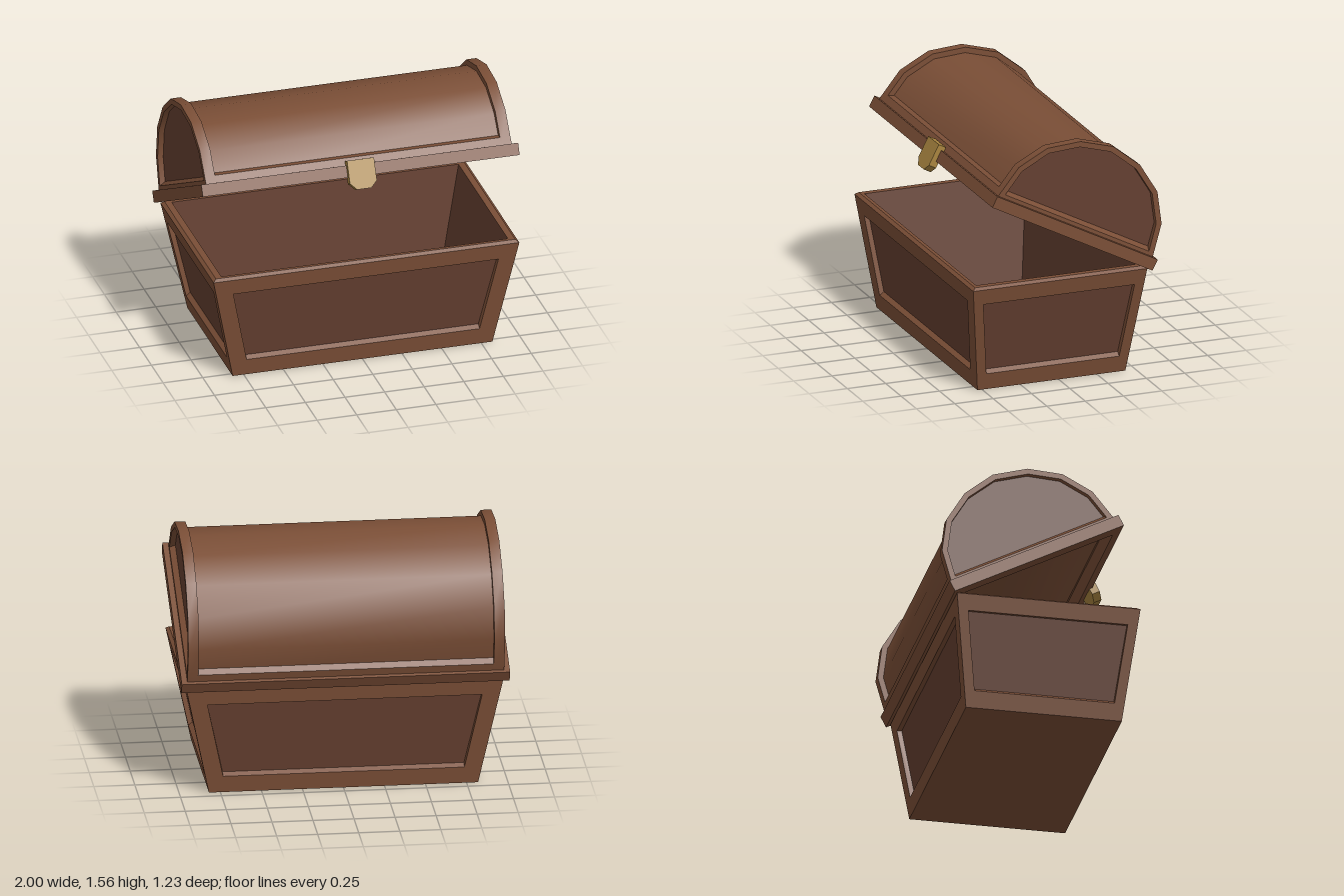
import * as THREE from 'three';
import { toCreasedNormals } from 'three/addons/utils/BufferGeometryUtils.js';

const mat = (color) => new THREE.MeshStandardMaterial({ color, side: THREE.DoubleSide });
const V = (x, y, z) => new THREE.Vector3(x, y, z);

// Flat-shaded geometry from four-cornered faces (counter-clockwise from outside)
function quads(faces) {
  const pts = faces.flatMap(([a, b, c, d]) => [a, b, c, a, c, d]);
  const g = new THREE.BufferGeometry().setFromPoints(pts);
  g.computeVertexNormals();
  return g;
}

function add(group, name, geometry, material) {
  const m = new THREE.Mesh(geometry, material);
  m.name = name;
  group.add(m);
  return m;
}

// Strips joining two matching loops of corners
const bridge = (lo, hi) => lo.map((p, i) => {
  const j = (i + 1) % lo.length;
  return [p, lo[j], hi[j], hi[i]];
});

// Rectangle loop at height y: front left, front right, back right, back left
const ring = (x, y, front, back) => [V(-x, y, front), V(x, y, front), V(x, y, back), V(-x, y, back)];

// Extrudes a (z, y) outline along x, ending at x = x1
function extrudeX(outline, hole, x1, depth) {
  const toV2 = (l) => l.map(([a, b]) => new THREE.Vector2(a, b));
  const shape = new THREE.Shape(toV2(outline));
  if (hole) shape.holes.push(new THREE.Path(toV2(hole)));
  const g = new THREE.ExtrudeGeometry(shape, { depth, bevelEnabled: false });
  g.rotateY(-Math.PI / 2).translate(x1, 0, 0);
  return toCreasedNormals(g, 0.5);
}

// Lid arch outline, shrunk by inset, with its feet at height foot
const RIM = 0.074, MID = 0.588, LID_DEPTH = 1.176;
const HALF_ARCH = [[0.567, 0], [0.524, 0.209], [0.404, 0.382], [0.219, 0.495]];
function arch(inset, foot = RIM) {
  const sx = 1 - inset / 0.567, sy = 1 - inset / 0.54;
  const side = HALF_ARCH.map(([h, v]) => [h * sx, RIM + v * sy]);
  const t = (foot - RIM) / (side[1][1] - RIM);
  side[0] = [side[0][0] + (side[1][0] - side[0][0]) * t, foot];
  return [
    ...side.map(([h, v]) => [MID + h, v]),
    [MID, RIM + 0.54 * sy],
    ...side.reverse().map(([h, v]) => [MID - h, v]),
  ];
}

function makeBase(wood, panelWood) {
  const base = new THREE.Group();
  base.name = 'base';
  const bottom = ring(0.82, 0, 0.53, -0.435);
  const top = ring(0.965, 0.69, 0.615, -0.52);
  const frame = [], panels = [];

  // Sloped walls, each with a recessed panel
  for (let i = 0; i < 4; i++) {
    const j = (i + 1) % 4;
    const [A, B, C, D] = [bottom[i], bottom[j], top[j], top[i]];
    const along = B.clone().sub(A).normalize();
    const up = D.clone().add(C).sub(A).sub(B).normalize();
    const normal = along.clone().cross(up);
    const margin = i % 2 ? 0.062 : 0.107;
    const at = (p, q, t, s) => p.clone().lerp(q, t).addScaledVector(along, s * margin);
    const opening = [at(A, D, 0.153, 1), at(B, C, 0.153, -1), at(B, C, 0.855, -1), at(A, D, 0.855, 1)];
    const recess = opening.map((p, k) => {
      const q = p.clone().addScaledVector(normal, -0.03);
      return k < 2 ? q.addScaledVector(up, 0.016) : q;
    });
    frame.push(...bridge([A, B, C, D], opening), ...bridge(opening, recess));
    panels.push(recess);
  }

  // Chamfered lip, inner walls, floor and underside
  const lip = ring(0.945, 0.705, 0.595, -0.5);
  const mouth = ring(0.905, 0.705, 0.573, -0.478);
  const floor = ring(0.77, 0.05, 0.495, -0.4);
  frame.push(...bridge(top, lip), ...bridge(lip, mouth), [...bottom].reverse());
  add(base, 'baseFrame', quads(frame), wood);
  add(base, 'basePanels', quads(panels), panelWood);
  add(base, 'baseInterior', quads([...bridge(mouth, floor), floor]), panelWood);
  return base;
}

function makeLid(wood, panelWood, brass) {
  const lid = new THREE.Group();
  lid.name = 'lid';

  // Open rectangular rim
  const rect = (Type, x, z0, z1) => new Type(
    [[-x, -z0], [x, -z0], [x, -z1], [-x, -z1]].map(([a, b]) => new THREE.Vector2(a, b)));
  const rim = rect(THREE.Shape, 1, 0, LID_DEPTH);
  rim.holes.push(rect(THREE.Path, 0.9, 0.054, LID_DEPTH - 0.054));
  const rimGeo = new THREE.ExtrudeGeometry(rim, { depth: RIM, bevelEnabled: false });
  add(lid, 'lidRim', rimGeo.rotateX(-Math.PI / 2), wood);

  // Smooth barrel shell, hollow beneath
  add(lid, 'lidBarrel', extrudeX([...arch(0.035), ...arch(0.045).reverse()], null, 0.9, 1.8), wood);

  // Low strips along the barrel's front and back feet
  const [outer, inner] = [arch(0), arch(0.035)];
  const [outerTop, innerTop] = [arch(0, 0.12), arch(0.035, 0.135)];
  for (const k of [0, outer.length - 1]) {
    add(lid, k ? 'backStrip' : 'frontStrip',
      extrudeX([outer[k], outerTop[k], innerTop[k], inner[k]], null, 0.9, 1.8), wood);
  }

  // Arched end bands, recessed end panels and their sloped sills
  for (const s of [1, -1]) {
    const side = s > 0 ? 'left' : 'right';
    const opening = arch(0.035, 0.097);
    add(lid, side + 'EndBand', extrudeX(arch(0), opening, s > 0 ? 0.965 : -0.9, 0.065), wood);
    add(lid, side + 'EndPanel', extrudeX(arch(0.034, 0.09), null, s > 0 ? 0.93 : -0.9, 0.03), panelWood);
    const z0 = opening[opening.length - 1][0], z1 = opening[0][0];
    const sill = [V(s * 0.965, 0.097, z1), V(s * 0.965, 0.097, z0),
      V(s * 0.93, 0.119, z0), V(s * 0.93, 0.119, z1)];
    add(lid, side + 'EndSill', quads([s > 0 ? sill : sill.reverse()]), wood);
  }

  // Brass clasp with clipped lower corners
  const plate = new THREE.Shape([[-0.045, -0.079], [0.045, -0.079], [0.085, -0.038],
    [0.085, 0.102], [-0.085, 0.102], [-0.085, -0.038]].map(([a, b]) => new THREE.Vector2(a, b)));
  const clasp = new THREE.ExtrudeGeometry(plate, { depth: 0.052, bevelEnabled: false });
  add(lid, 'clasp', clasp.translate(0, 0, 1.156), brass);

  // Hinged open on the back edge
  lid.position.set(0, 0.685, -0.54);
  lid.rotation.x = -0.4768;
  return lid;
}

export function createModel() {
  const model = new THREE.Group();
  model.name = 'chest';
  const wood = mat(0x7a4e36), panelWood = mat(0x643f30), brass = mat(0xa8843f);
  model.add(makeBase(wood, panelWood), makeLid(wood, panelWood, brass));
  return model;
}
